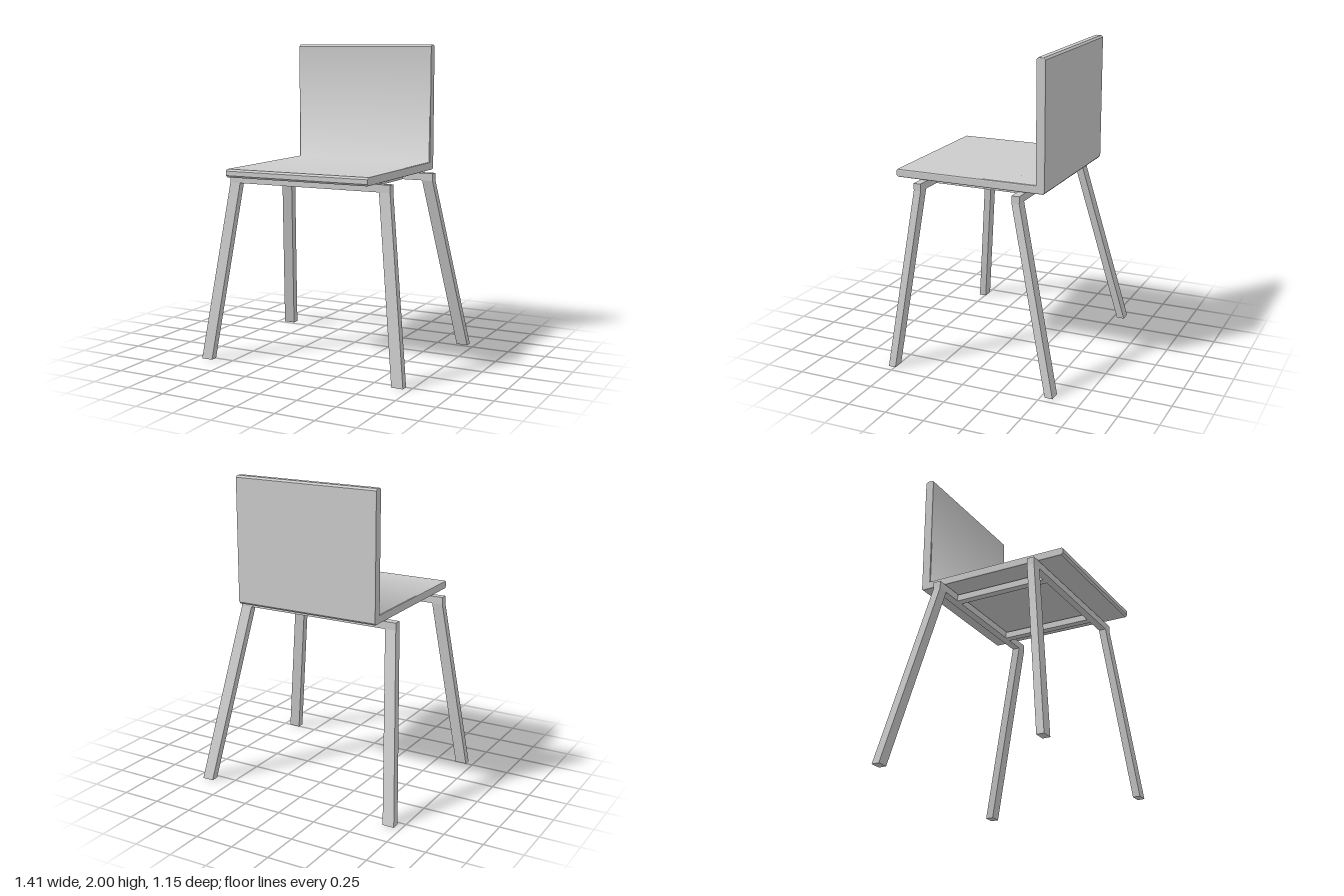
import * as THREE from 'three';

const material = new THREE.MeshStandardMaterial({ color: 0xcccccc });

function addMesh(parent, name, geometry) {
  const mesh = new THREE.Mesh(geometry, material);
  mesh.name = name;
  parent.add(mesh);
  return mesh;
}

const polygon = (points) => new THREE.Shape(points.map(([x, y]) => new THREE.Vector2(x, y)));

// L-shaped shell: seat and backrest in one bent board with softened edges
function shellGeometry() {
  const front = 0.575, back = -0.425, inner = -0.365;
  const under = 1.188, seat = 1.24, top = 2, c = 0.012, bevel = 0.008, width = 0.974;
  const profile = polygon([
    [back, under + c], [back + c, under], [front - c, under], [front, under + c],
    [front, seat - c], [front - c, seat], [inner, seat],
    [inner, top - c], [inner - c, top], [back + c, top], [back, top - c],
  ]);
  const depth = width - 2 * bevel;
  const geometry = new THREE.ExtrudeGeometry(profile, {
    depth, bevelEnabled: true, bevelSize: bevel, bevelThickness: bevel, bevelOffset: -bevel, bevelSegments: 2,
  });
  geometry.translate(0, 0, -depth / 2).rotateY(-Math.PI / 2);
  // Blend the shading across the fold between seat and backrest
  const p = geometry.attributes.position, n = geometry.attributes.normal;
  for (let i = 0; i < p.count; i++) {
    const atFold = Math.abs(p.getY(i) - seat) < 0.01 && Math.abs(p.getZ(i) - inner) < 0.01;
    if (atFold && Math.abs(n.getX(i)) < 0.1) n.setXYZ(i, 0, Math.SQRT1_2, Math.SQRT1_2);
  }
  return geometry;
}

const barBottom = 1.135, barTop = 1.182;

// Pair of splayed legs joined by a crossbar; legs lean by `lean` in z at the foot
function legFrameGeometry(z, thickness, lean) {
  const half = [[0.63, 0], [0.705, 0], [0.555, barBottom], [0.555, barTop]];
  const innerCorner = [0.483, barBottom];
  const right = [innerCorner, ...half];
  const left = right.map(([x, y]) => [-x, y]).reverse();
  const geometry = new THREE.ExtrudeGeometry(polygon([...right, ...left]), {
    depth: thickness, bevelEnabled: false,
  });
  geometry.translate(0, 0, z - thickness / 2);
  const p = geometry.attributes.position;
  for (let i = 0; i < p.count; i++) {
    const drop = Math.max(0, barBottom - p.getY(i)) / barBottom;
    p.setZ(i, p.getZ(i) + lean * drop);
  }
  geometry.computeVertexNormals();
  return geometry;
}

export function createModel() {
  const chair = new THREE.Group();
  chair.name = 'chair';

  addMesh(chair, 'seatAndBackrest', shellGeometry());

  const frontZ = 0.39, backZ = -0.267;
  addMesh(chair, 'frontLegFrame', legFrameGeometry(frontZ, 0.047, 0.13));
  addMesh(chair, 'backLegFrame', legFrameGeometry(backZ, 0.05, -0.283));

  // Rails under the seat linking the two frames
  for (const side of [-1, 1]) {
    const rail = addMesh(chair, side > 0 ? 'leftRail' : 'rightRail',
      new THREE.BoxGeometry(0.05, 0.042, frontZ - backZ - 0.03));
    rail.position.set(side * 0.32, 1.156, (frontZ + backZ) / 2);
  }
  return chair;
}
